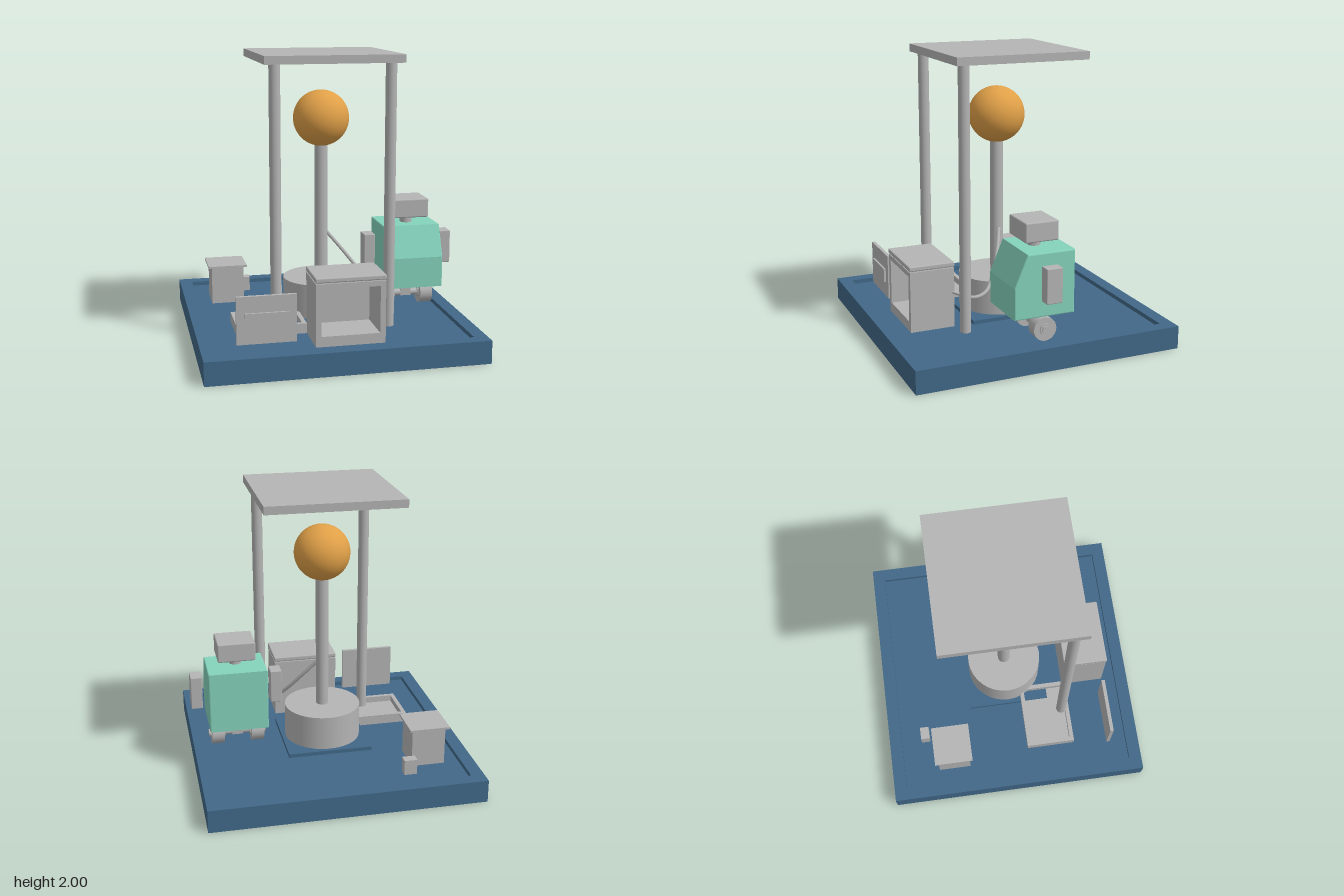
import * as THREE from 'three';
import { RoundedBoxGeometry } from 'three/addons/geometries/RoundedBoxGeometry.js';

export function createModel() {
  const model = new THREE.Group();
  const mat = (name, color) => {
    const m = new THREE.MeshStandardMaterial({ color });
    m.name = name;
    return m;
  };
  const grey = mat('grey', 0xb4b4b4);
  const blue = mat('blue', 0x416888);
  const green = mat('green', 0x84d2bb);
  const orange = mat('orange', 0xe0a048);

  const add = (name, geometry, material, parent = model) => {
    const mesh = new THREE.Mesh(geometry, material);
    mesh.name = name;
    parent.add(mesh);
    return mesh;
  };
  const group = (name) => {
    const g = new THREE.Group();
    g.name = name;
    model.add(g);
    return g;
  };
  // Box given by its limits, with optional rounded edges
  const box = (name, [x0, x1], [y0, y1], [z0, z1], material, parent, round = 0) => {
    const s = [x1 - x0, y1 - y0, z1 - z0];
    const geo = round ? new RoundedBoxGeometry(...s, 2, round) : new THREE.BoxGeometry(...s);
    const mesh = add(name, geo, material, parent);
    mesh.position.set((x0 + x1) / 2, (y0 + y1) / 2, (z0 + z1) / 2);
    return mesh;
  };
  const post = (name, r, [y0, y1], x, z, parent, sides = 32) => {
    const mesh = add(name, new THREE.CylinderGeometry(r, r, y1 - y0, sides), grey, parent);
    mesh.position.set(x, (y0 + y1) / 2, z);
    return mesh;
  };
  // Rectangle points, used for frames with a hole
  const rect = (x0, x1, y0, y1) =>
    [[x0, y0], [x1, y0], [x1, y1], [x0, y1]].map(([x, y]) => new THREE.Vector2(x, y));
  const frame = (outer, inner, depth) => {
    const shape = new THREE.Shape(rect(...outer));
    shape.holes.push(new THREE.Path(rect(...inner)));
    return new THREE.ExtrudeGeometry(shape, { depth, bevelEnabled: false });
  };
  // Horizontal frame standing at height y0; limits are x0, x1, z0, z1
  const flatFrame = (name, [a, b, c, d], t, [y0, y1], material, parent) => {
    const geo = frame([a, b, -d, -c], [a + t, b - t, -d + t, -c - t], y1 - y0);
    geo.rotateX(-Math.PI / 2);
    add(name, geo, material, parent).position.y = y0;
  };

  // Base with a sunken floor
  const floor = 0.13;
  const base = group('base');
  box('baseFloor', [-0.95, 0.94], [0, floor], [-0.945, 0.94], blue, base);
  flatFrame('baseRim', [-0.95, 0.94, -0.945, 0.94], 0.092, [floor, 0.16], blue, base);
  box('plinth', [-0.305, 0.295], [floor, 0.157], [-0.3, 0.3], blue, base);

  // Central drum, column and ball
  const tower = group('tower');
  post('drum', 0.272, [0.157, 0.4], -0.005, 0, tower);
  post('column', 0.045, [0.4, 1.36], -0.005, 0, tower);
  add('ball', new THREE.SphereGeometry(0.196, 40, 28), orange, tower).position.set(-0.005, 1.54, 0);

  // Canopy on two posts
  const canopy = group('canopy');
  box('roof', [-0.477, 0.467], [1.945, 2], [-0.47, 0.47], grey, canopy);
  for (const x of [-0.4, 0.387]) post('canopyPost', 0.038, [floor, 1.945], x, 0.395, canopy);

  // Cabinet with an open front
  const cabinet = group('cabinet');
  const shell = frame([-0.2, 0.27, floor, 0.555], [-0.163, 0.233, 0.2, 0.52], 0.285);
  add('cabinetShell', shell, grey, cabinet).position.z = 0.46;
  box('cabinetBack', [-0.2, 0.27], [floor, 0.555], [0.43, 0.46], grey, cabinet);
  box('cabinetTop', [-0.203, 0.273], [0.562, 0.595], [0.427, 0.75], grey, cabinet, 0.008);
  box('cabinetSeam', [-0.19, 0.26], [0.555, 0.563], [0.44, 0.735], grey, cabinet);

  // Standing panel with its raised plate
  const panel = group('panel');
  box('panelBoard', [-0.715, -0.32], [0.175, 0.495], [0.695, 0.72], grey, panel);
  box('panelPlate', [-0.66, -0.375], [0.285, 0.385], [0.72, 0.735], grey, panel);

  // Shallow tray around the left post
  const tray = group('tray');
  flatFrame('trayWall', [-0.675, -0.2, 0.095, 0.45], 0.03, [floor, 0.2], grey, tray);
  box('trayFloor', [-0.65, -0.225], [floor, 0.155], [0.12, 0.425], grey, tray);

  // Bin with a lid, and a small block beside it
  const bin = group('bin');
  box('binBody', [-0.752, -0.517], [floor, 0.4], [-0.59, -0.355], grey, bin);
  box('binLid', [-0.777, -0.495], [0.4, 0.415], [-0.613, -0.335], grey, bin);
  box('smallBlock', [-0.522, -0.432], [floor, 0.237], [-0.702, -0.638], grey);

  // Hose from the column to the cabinet
  const path = new THREE.CatmullRomCurve3([
    [0.035, 0.725, 0], [0.13, 0.61, 0.05], [0.24, 0.47, 0.13], [0.325, 0.37, 0.22],
    [0.335, 0.345, 0.31], [0.28, 0.37, 0.41], [0.235, 0.39, 0.475],
  ].map((p) => new THREE.Vector3(...p)));
  add('hose', new THREE.TubeGeometry(path, 48, 0.013, 10), grey);

  // Wheeled robot
  const robot = group('robot');
  const cx = 0.6225;
  const bevel = 0.008;
  const side = new THREE.Shape([
    [-0.192, 0.343], [0.222, 0.343], [0.222, 0.55], [0.132, 0.762], [-0.192, 0.762],
  ].map(([z, y]) => new THREE.Vector2(-z, y)).reverse());
  const bodyGeo = new THREE.ExtrudeGeometry(side, {
    depth: 0.396, bevelThickness: bevel, bevelSize: bevel, bevelSegments: 2,
  });
  bodyGeo.translate(0, 0, -0.198);
  bodyGeo.rotateY(Math.PI / 2);
  add('robotBody', bodyGeo, green, robot).position.x = cx + 0.003;

  post('neck', 0.043, [0.765, 0.825], cx, 0, robot, 24);
  box('head', [0.49, 0.755], [0.82, 0.955], [-0.118, 0.12], grey, robot, 0.01);
  box('hip', [0.545, 0.7], [0.285, 0.34], [-0.04, 0.04], grey, robot);
  box('strut', [0.585, 0.66], [0.22, 0.29], [-0.03, 0.03], grey, robot);

  const axle = (name, r, w, x) => {
    const mesh = post(name, r, [-w / 2, w / 2], x, 0, robot, 28);
    mesh.rotation.z = Math.PI / 2;
    mesh.position.y = 0.239;
  };
  axle('axle', 0.025, 0.41, cx);
  for (const s of [-1, 1]) {
    axle('wheel', 0.081, 0.09, cx + s * 0.142);
    axle('wheelHub', 0.04, 0.108, cx + s * 0.142);
    const x = cx + s * 0.2825;
    box('arm', [x - 0.04, x + 0.04], [0.46, 0.697], [-0.056, 0.056], grey, robot, 0.005);
  }
  return model;
}
